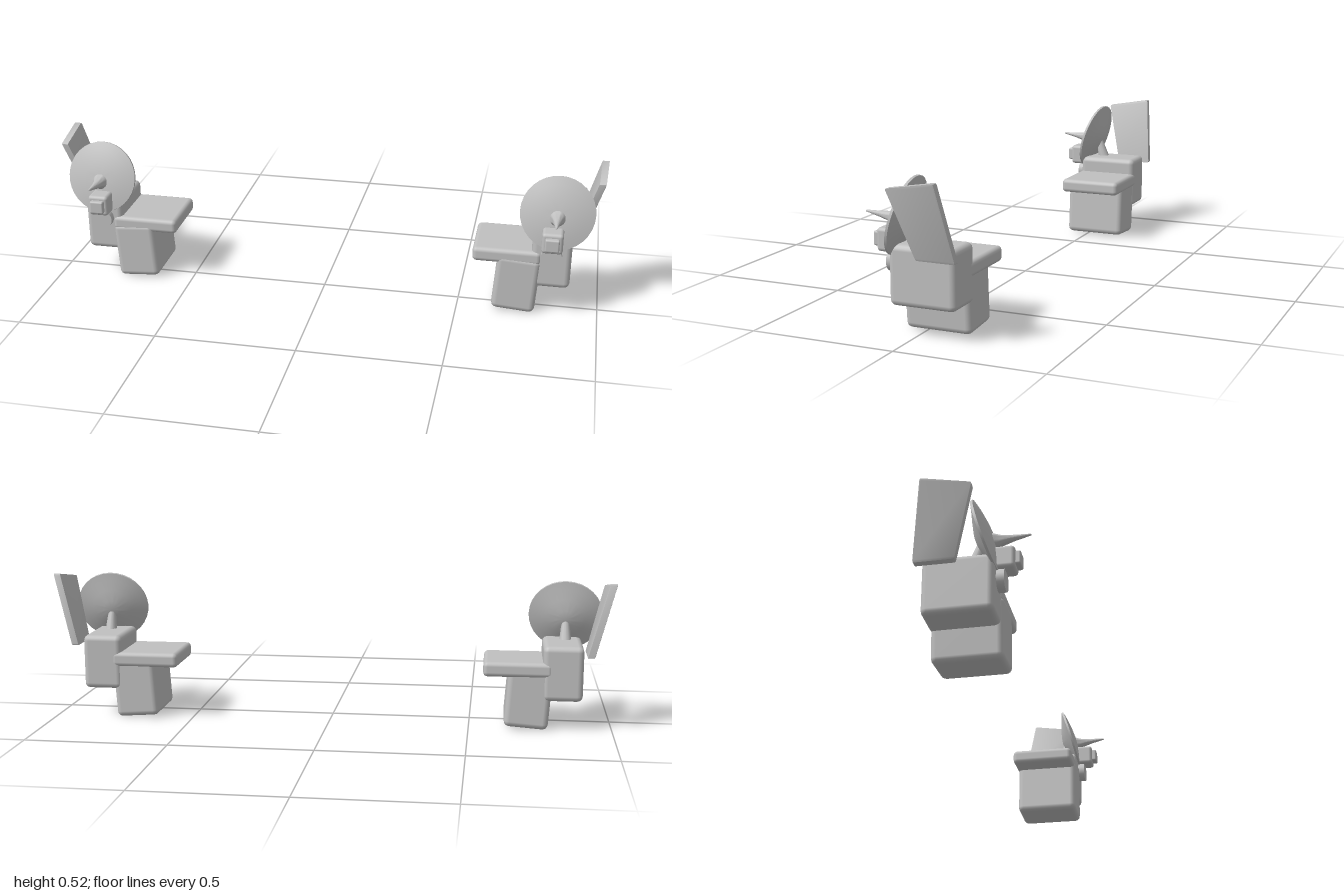
import * as THREE from 'three';
import { RoundedBoxGeometry } from 'three/addons/geometries/RoundedBoxGeometry.js';
import { toCreasedNormals } from 'three/addons/utils/BufferGeometryUtils.js';

const grey = new THREE.MeshStandardMaterial({ color: 0xc0c0c0 });
grey.name = 'light grey';

function add(group, name, geometry, x, y, z) {
  const mesh = new THREE.Mesh(geometry, grey);
  mesh.name = name;
  mesh.position.set(x, y, z);
  group.add(mesh);
  return mesh;
}

// Rounded box given by its centre and size
function block(group, name, [x, y, z], [w, h, d], radius) {
  return add(group, name, new RoundedBoxGeometry(w, h, d, 2, radius), x, y, z);
}

// Leaning trapezoid panel: a box with its corners moved by a bilinear rule
function panelGeometry(s) {
  const geo = new RoundedBoxGeometry(1, 1, 1, 1, 0.03);
  const p = geo.attributes.position;
  const mix = THREE.MathUtils.lerp;
  for (let i = 0; i < p.count; i++) {
    const a = p.getX(i), up = p.getY(i) + 0.5, front = p.getZ(i) + 0.5;
    const y = mix(0.27, mix(0.525, 0.497, front), up);
    const z = mix(mix(-0.176, -0.045, front), mix(-0.143, 0.02, front), up);
    p.setXYZ(i, s * (0.917 + (y - 0.27) * 0.277) + a * 0.025, y, z);
  }
  geo.deleteAttribute('normal');
  return toCreasedNormals(geo, 0.6);
}

// Turned part whose axis points along +z; points are [radius, z]
function turned(points, segments) {
  const geo = new THREE.LatheGeometry(points.map(([r, h]) => new THREE.Vector2(r, h)), segments);
  geo.rotateX(Math.PI / 2);
  return toCreasedNormals(geo, 0.7);
}

function createPod(s) {
  const pod = new THREE.Group();
  pod.name = s > 0 ? 'leftPod' : 'rightPod';

  // Base
  const foot = block(pod, 'foot', [s * 0.707, 0.111, -0.0375], [0.155, 0.21, 0.231], 0.02);
  foot.rotation.z = -s * 0.07;
  block(pod, 'platform', [s * 0.669, 0.217, -0.042], [0.242, 0.053, 0.236], 0.016);
  block(pod, 'body', [s * 0.825, 0.205, -0.044], [0.14, 0.196, 0.228], 0.02);

  // Side panel
  add(pod, 'sidePanel', panelGeometry(s), 0, 0, 0);

  // Lens-shaped dish, tilted back and turned slightly outward
  const dish = add(pod, 'dish', turned([
    [0, -0.036], [0.03, -0.033], [0.07, -0.022], [0.105, -0.011], [0.131, -0.004],
    [0.131, 0.004], [0.1, 0.012], [0.06, 0.019], [0.025, 0.022], [0, 0.022],
  ], 32), s * 0.835, 0.384, 0.036);
  dish.rotation.set(-0.28, s * 0.07, 0);

  // Flared spike in the middle of the dish
  const spike = add(pod, 'spike', turned([
    [0.034, 0], [0.025, 0.018], [0.018, 0.035], [0.01, 0.075], [0.003, 0.128], [0, 0.129],
  ], 20), s * 0.835, 0.371, 0.048);
  spike.rotation.x = -0.12;

  // Short strut carrying the dish
  const strut = add(pod, 'strut', new THREE.CylinderGeometry(0.012, 0.022, 0.09, 12), s * 0.835, 0.335, 0.01);
  strut.rotation.x = 0.3;

  // Sensor head with its lens, and the round hub below
  block(pod, 'sensorHead', [s * 0.825, 0.304, 0.086], [0.074, 0.076, 0.084], 0.012);
  block(pod, 'sensorLens', [s * 0.825, 0.304, 0.13], [0.05, 0.047, 0.03], 0.006);
  const hub = add(pod, 'hub', new THREE.CylinderGeometry(0.037, 0.037, 0.04, 24), s * 0.825, 0.237, 0.075);
  hub.rotation.x = Math.PI / 2;

  return pod;
}

export function createModel() {
  const model = new THREE.Group();
  model.name = 'twinPods';
  for (const s of [1, -1]) model.add(createPod(s));
  return model;
}
